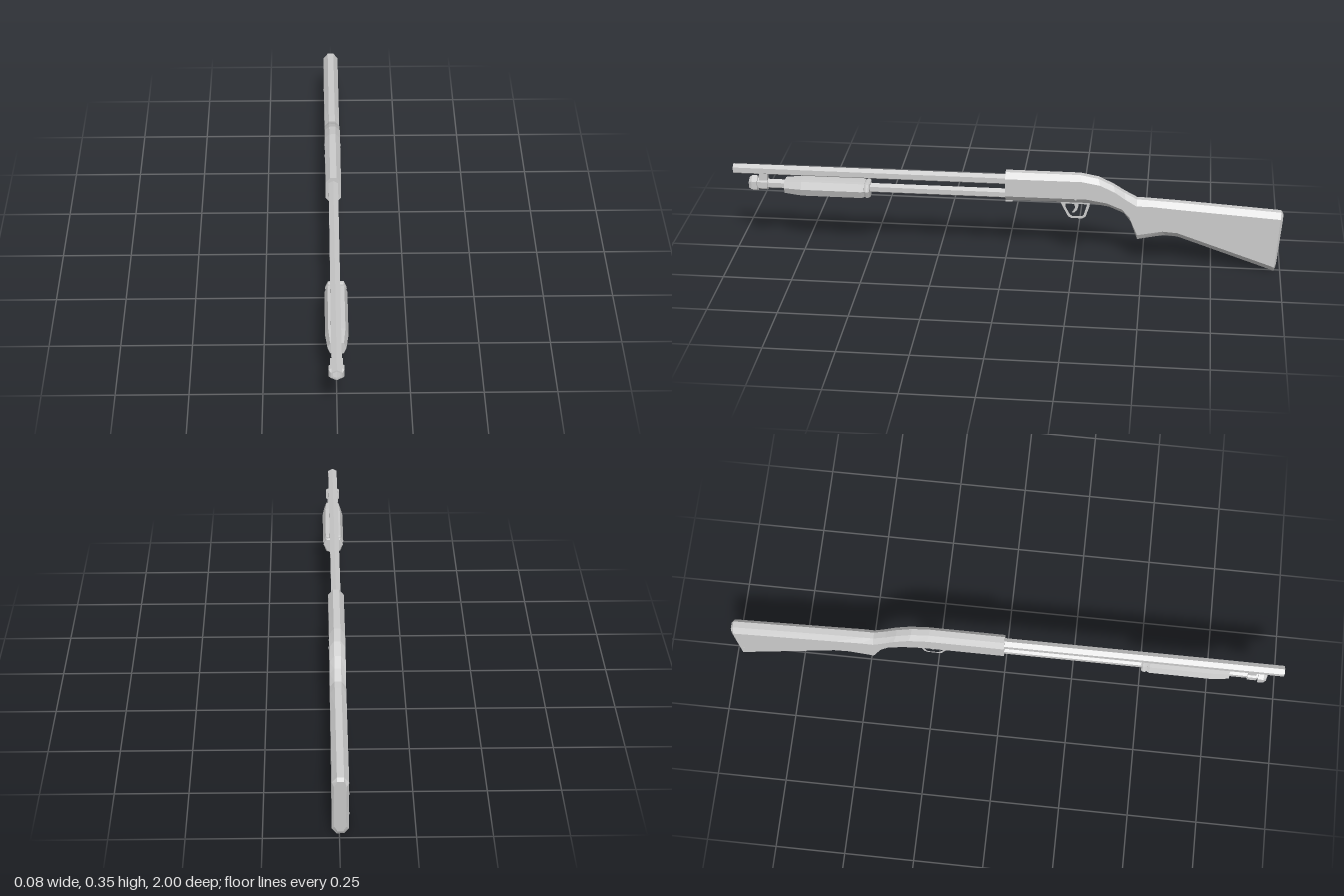
import * as THREE from 'three';

const material = new THREE.MeshStandardMaterial({ color: 0xcccccc, flatShading: true });

function mesh(name, geometry) {
  const m = new THREE.Mesh(geometry, material);
  m.name = name;
  return m;
}

// Skin over rings that run counter-clockwise seen from the front, ordered front to back
function loft(rings) {
  const pos = [], n = rings[0].length;
  const tri = (a, b, c) => pos.push(...a, ...b, ...c);
  for (let k = 0; k < rings.length - 1; k++) {
    const A = rings[k], B = rings[k + 1];
    for (let i = 0; i < n; i++) {
      const j = (i + 1) % n;
      tri(A[i], B[i], B[j]);
      tri(A[i], B[j], A[j]);
    }
  }
  const F = rings[0], L = rings[rings.length - 1];
  for (let i = 1; i < n - 1; i++) {
    tri(F[0], F[i], F[i + 1]);
    tri(L[0], L[i + 1], L[i]);
  }
  const g = new THREE.BufferGeometry();
  g.setAttribute('position', new THREE.Float32BufferAttribute(pos, 3));
  g.computeVertexNormals();
  return g;
}

// Faceted turned part along z, from [radius, z] points
function turned(profile, sides, y) {
  const g = new THREE.LatheGeometry(profile.map(p => new THREE.Vector2(...p)), sides);
  return g.rotateX(Math.PI / 2).translate(0, y, 0);
}

// Side-view outline of [z, y] points, extruded across x
function plate(outline, width, hole) {
  const toVec = p => new THREE.Vector2(...p);
  const shape = new THREE.Shape(outline.map(toVec));
  if (hole) shape.holes.push(new THREE.Path(hole.map(toVec)));
  const g = new THREE.ExtrudeGeometry(shape, { depth: width, bevelEnabled: false });
  return g.translate(0, 0, -width / 2).rotateY(-Math.PI / 2);
}

// Chamfered eight-sided section between a top and a bottom point [z, y]
function section([tz, ty], [bz, by], half = 0.028, bottomHalf = 0.0115, cut = 0.021) {
  const topHalf = 0.0115, t = cut / Math.hypot(ty - by, tz - bz);
  const at = (x, f) => [x, by + (ty - by) * f, bz + (tz - bz) * f];
  return [
    at(-bottomHalf, 0), at(bottomHalf, 0), at(half, t), at(half, 1 - t),
    at(topHalf, 1), at(-topHalf, 1), at(-half, 1 - t), at(-half, t),
  ];
}

export function createModel() {
  const model = new THREE.Group();
  model.name = 'pumpShotgun';
  const body = new THREE.Group();
  body.name = 'body';
  body.position.x = -0.003;
  model.add(body);

  // Receiver flowing into grip and shoulder stock
  body.add(mesh('receiverAndStock', loft([
    section([0, 0.35], [0, 0.24]),
    section([-0.27, 0.35], [-0.3, 0.241]),
    section([-0.335, 0.338], [-0.375, 0.23]),
    section([-0.39, 0.312], [-0.43, 0.208], 0.028, 0.014),
    section([-0.43, 0.287], [-0.455, 0.176], 0.028, 0.0165),
    section([-0.475, 0.263], [-0.48, 0.107], 0.028, 0.0165),
    section([-0.51, 0.262], [-0.58, 0.128], 0.028, 0.014),
    section([-0.62, 0.257], [-0.625, 0.122]),
    section([-0.975, 0.235], [-0.962, 0.006]),
  ])));

  // Butt pad with a bevelled rim
  body.add(mesh('buttPad', loft([
    section([-0.975, 0.235], [-0.962, 0.006]),
    section([-0.992, 0.234], [-0.976, 0.0]),
    section([-1, 0.222], [-0.983, 0.012], 0.02, 0.008),
  ])));

  // Barrel with an open bore
  body.add(mesh('barrel', turned(
    [[0.0195, -0.01], [0.0195, 1], [0.0135, 1], [0.0135, 0.85], [0, 0.85]], 6, 0.317)));

  // Magazine tube, its stepped cap and the bracket up to the barrel
  body.add(mesh('magazineTube', turned([[0.018, -0.01], [0.018, 0.9]], 6, 0.262)));
  body.add(mesh('magazineCap', turned([
    [0, 0.875], [0.024, 0.875], [0.024, 0.907], [0.021, 0.907], [0.021, 0.912],
    [0.03, 0.912], [0.03, 0.932], [0.022, 0.943], [0, 0.948],
  ], 6, 0.262)));
  const bracket = mesh('barrelBracket', new THREE.BoxGeometry(0.027, 0.03, 0.03));
  bracket.position.set(0, 0.291, 0.89);
  body.add(bracket);

  // Sliding fore-end: octagon flattened under the barrel
  const foreRing = (z, s) => [
    [0, -0.039], [0.028, -0.028], [0.039, 0], [0.0285, 0.027],
    [0.012, 0.028], [-0.012, 0.028], [-0.0285, 0.027], [-0.039, 0], [-0.028, -0.028],
  ].map(([x, y]) => [x * s, 0.26 + y * s, z]);
  const foreEnd = new THREE.Group();
  foreEnd.name = 'foreEnd';
  foreEnd.add(mesh('foreEndGrip', loft([
    foreRing(0.81, 0.8), foreRing(0.745, 1), foreRing(0.525, 1), foreRing(0.515, 0.9),
  ])));
  foreEnd.add(mesh('foreEndCollar', loft([
    foreRing(0.516, 0.84), foreRing(0.508, 0.95), foreRing(0.5, 0.95), foreRing(0.495, 0.84),
  ])));
  model.add(foreEnd);

  // Trigger guard and trigger
  body.add(mesh('triggerGuard', plate(
    [[-0.195, 0.25], [-0.208, 0.222], [-0.228, 0.184], [-0.24, 0.178], [-0.28, 0.178],
      [-0.291, 0.185], [-0.305, 0.228], [-0.305, 0.25]], 0.022,
    [[-0.217, 0.235], [-0.218, 0.222], [-0.234, 0.193], [-0.243, 0.187], [-0.277, 0.187],
      [-0.284, 0.192], [-0.296, 0.235]])));
  body.add(mesh('trigger', plate(
    [[-0.245, 0.245], [-0.252, 0.22], [-0.25, 0.208], [-0.241, 0.196], [-0.249, 0.197],
      [-0.26, 0.208], [-0.264, 0.222], [-0.264, 0.245]], 0.009)));

  // Loading port lip under the front of the receiver
  body.add(mesh('loadingLip', plate(
    [[0, 0.25], [0, 0.234], [-0.024, 0.234], [-0.034, 0.25]], 0.023)));

  // Cross pins through the receiver and butt
  for (const [z, y, r] of [[-0.27, 0.3, 0.006], [-0.255, 0.262, 0.005],
    [-0.972, 0.155, 0.004], [-0.968, 0.075, 0.004]]) {
    const pin = mesh('crossPin', new THREE.CylinderGeometry(r, r, 0.058, 6).rotateZ(Math.PI / 2));
    pin.position.set(0, y, z);
    body.add(pin);
  }
  return model;
}
